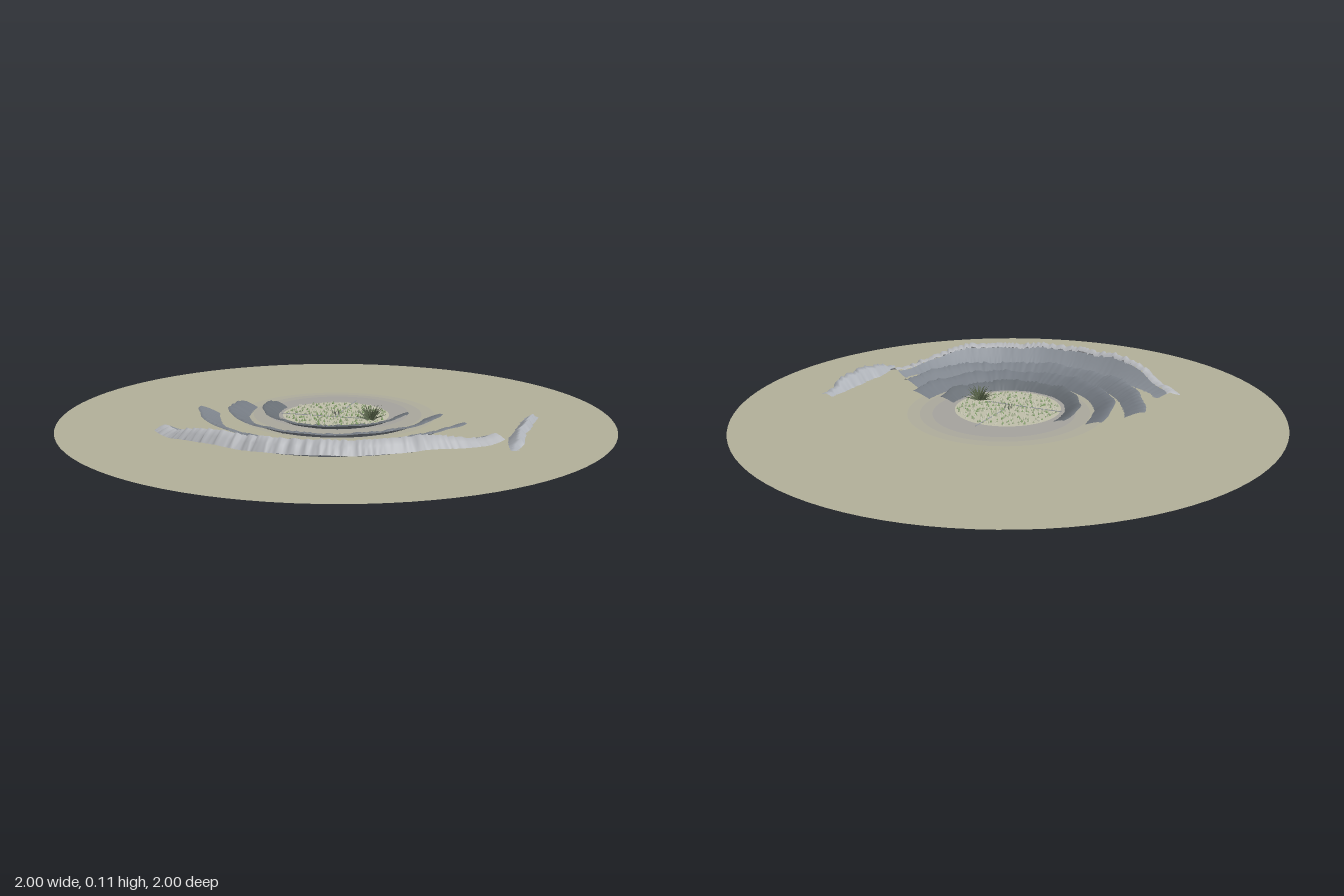
import * as THREE from 'three';
import { mergeGeometries } from 'three/addons/utils/BufferGeometryUtils.js';

const TILT = 0.013; // the ground rises slightly towards the front
const groundY = z => 0.013 + TILT * z;

function seeded(seed) {
  let s = seed;
  return () => (s = (s * 16807) % 2147483647) / 2147483647;
}

const paint = color => new THREE.MeshStandardMaterial({ color, side: THREE.DoubleSide });

function addMesh(parent, name, geometry, color) {
  const mesh = new THREE.Mesh(geometry, paint(color));
  mesh.name = name;
  parent.add(mesh);
  return mesh;
}

// Rock sheet: a profile of [outward offset, height] swept along a path.
// path(t) gives an origin and an outward direction; fade(t) scales the height.
function rockSheet(path, profile, columns, fade, seed) {
  const random = seeded(seed);
  const positions = [], index = [], m = profile.length;
  for (let i = 0; i <= columns; i++) {
    const t = i / columns;
    const { x, z, ox, oz } = path(t);
    const f = fade(t);
    const slump = (random() - 0.5) * 0.012;
    const wave = 0.004 * Math.sin(t * 23 + seed) + 0.003 * Math.sin(t * 51);
    profile.forEach(([r, h], j) => {
      const edge = j === m - 1 ? 0.25 : 1;
      const out = r + (slump * edge + wave) * 0.8;
      const y = h * f + (h > 0 ? slump * 0.7 * edge + wave * 0.5 : random() * 0.005);
      positions.push(x + ox * out, Math.max(0, y), z + oz * out);
    });
  }
  for (let i = 0; i < columns; i++) {
    for (let j = 0; j < m - 1; j++) {
      const a = i * m + j;
      index.push(a, a + 1, a + m, a + 1, a + m + 1, a + m);
    }
  }
  const g = new THREE.BufferGeometry();
  g.setAttribute('position', new THREE.Float32BufferAttribute(positions, 3));
  g.setIndex(index);
  g.computeVertexNormals();
  return g;
}

// Arc around the centre, angles in degrees from the front (+z) towards +x
function arc(from, to) {
  return t => {
    const a = THREE.MathUtils.degToRad(from + (to - from) * t);
    return { x: 0, z: 0, ox: Math.sin(a), oz: Math.cos(a) };
  };
}

const taper = (low, span) => t =>
  low + (1 - low) * THREE.MathUtils.smoothstep(Math.min(t, 1 - t), 0, span);

export function createModel() {
  const model = new THREE.Group();

  // Ground disc with soft tinted rings towards the middle
  const ground = new THREE.Group();
  ground.name = 'ground';
  ground.position.y = 0.013;
  ground.rotation.x = -TILT;
  model.add(ground);
  const layers = [
    ['groundDisc', 1, 0, 0xb0ae98],
    ['outerTint', 0.36, -0.02, 0xadab9a],
    ['middleTint', 0.31, -0.03, 0xa8a69b],
    ['innerTint', 0.26, -0.04, 0xa3a19c],
    ['gardenBed', 0.195, 0, 0xbebda8],
  ];
  layers.forEach(([name, r, z, color], i) => {
    const disc = addMesh(ground, name, new THREE.CircleGeometry(r, 96).rotateX(-Math.PI / 2), color);
    disc.position.set(0, i * 0.0008, z);
  });

  // Three inner rock terraces: inner radius, outer radius, start, end, height, colour
  const terraces = [
    [0.19, 0.268, -112, 92, 0.045, 0x686e74],
    [0.295, 0.388, -102, 89, 0.05, 0x747a82],
    [0.405, 0.5, -83, 75, 0.055, 0x7c828a],
  ];
  terraces.forEach(([r0, r1, from, to, h, color], i) => {
    const w = r1 - r0;
    const profile = [[r0, 0], [r0 + w * 0.3, h * 0.42], [r0 + w * 0.65, h * 0.8],
      [r0 + w * 0.9, h], [r1, h * 0.92]];
    addMesh(model, `rockTerrace${i + 1}`,
      rockSheet(arc(from, to), profile, 110 + i * 30, taper(0.75, 0.1), 31 + i * 17), color);
  });

  // Outer cliff: dark inner slope, pale crest that falls to a lip
  const slope = [[0.52, 0], [0.555, 0.026], [0.59, 0.058], [0.615, 0.085]];
  const crest = [[0.615, 0.085], [0.632, 0.1], [0.65, 0.083], [0.669, 0.06]];
  const cliffFade = t => taper(0.4, 0.28)(t);
  addMesh(model, 'outerCliffSlope', rockSheet(arc(-58, 67), slope, 170, cliffFade, 97), 0x8a9098);
  addMesh(model, 'outerCliffCrest', rockSheet(arc(-58, 67), crest, 170, cliffFade, 97), 0xb4b6ba);

  // Separate rock ridge on the left side
  const ridgeCurve = new THREE.CatmullRomCurve3([
    new THREE.Vector3(0.598, 0, 0.36), new THREE.Vector3(0.622, 0, 0.2),
    new THREE.Vector3(0.648, 0, 0.05), new THREE.Vector3(0.658, 0, -0.095),
  ]);
  const ridgePath = t => {
    const p = ridgeCurve.getPoint(t), d = ridgeCurve.getTangent(t);
    return { x: p.x, z: p.z, ox: -d.z, oz: d.x };
  };
  addMesh(model, 'sideRidge', rockSheet(ridgePath,
    [[0, 0], [0.02, 0.026], [0.04, 0.052], [0.052, 0.06], [0.07, 0.04]],
    60, taper(0.35, 0.35), 211), 0xacb0b6);

  // Small plants scattered over the garden bed, in three tints
  const random = seeded(71);
  const beds = [[], [], []];
  for (let i = 0; i < 420; i++) {
    const r = 0.185 * Math.sqrt((i + 0.5) / 420), a = i * 2.39996 + random() * 0.5;
    const size = 0.003 + random() * 0.0025;
    const x = r * Math.sin(a), z = r * Math.cos(a);
    beds[i % 3].push(new THREE.ConeGeometry(size, size * 2, 5)
      .translate(x, groundY(z) + 0.003 + size, z));
  }
  [['greenPlants', 0x7d9a62], ['palePlants', 0xc6c6b2], ['darkPlants', 0x9aa584]]
    .forEach(([name, color], i) => addMesh(model, name, mergeGeometries(beds[i]), color));

  // Shrub: a fan of thin leaning blades
  const blades = [];
  for (let i = 0; i < 90; i++) {
    const len = 0.035 + random() * 0.035;
    const lean = 0.35 + random() * 1.05;
    const blade = new THREE.ConeGeometry(0.004, len, 3).translate(0, len / 2, 0)
      .rotateX(lean).rotateY(i * 2.39996)
      .translate(0.135, groundY(0.05) + 0.003, 0.055);
    blades.push(blade);
  }
  addMesh(model, 'shrub', mergeGeometries(blades), 0x59654a);

  // Thin crossing lines through the bed and a low knot at the centre
  const line = (len, x, z, turn) => new THREE.BoxGeometry(0.003, 0.002, len)
    .rotateY(turn).translate(x, groundY(z) + 0.0045, z);
  addMesh(model, 'bedLines', mergeGeometries([
    line(0.25, 0.02, -0.1, -0.14), line(0.3, -0.05, 0.035, 1.5),
  ]), 0x9a9ea4);
  const knot = [];
  for (let i = 0; i < 5; i++) {
    knot.push(new THREE.ConeGeometry(0.003, 0.02, 4)
      .translate(0.012 * Math.sin(i * 1.257), 0.025, 0.012 * Math.cos(i * 1.257)));
  }
  addMesh(model, 'centreKnot', mergeGeometries(knot), 0x6c7064);

  return model;
}
